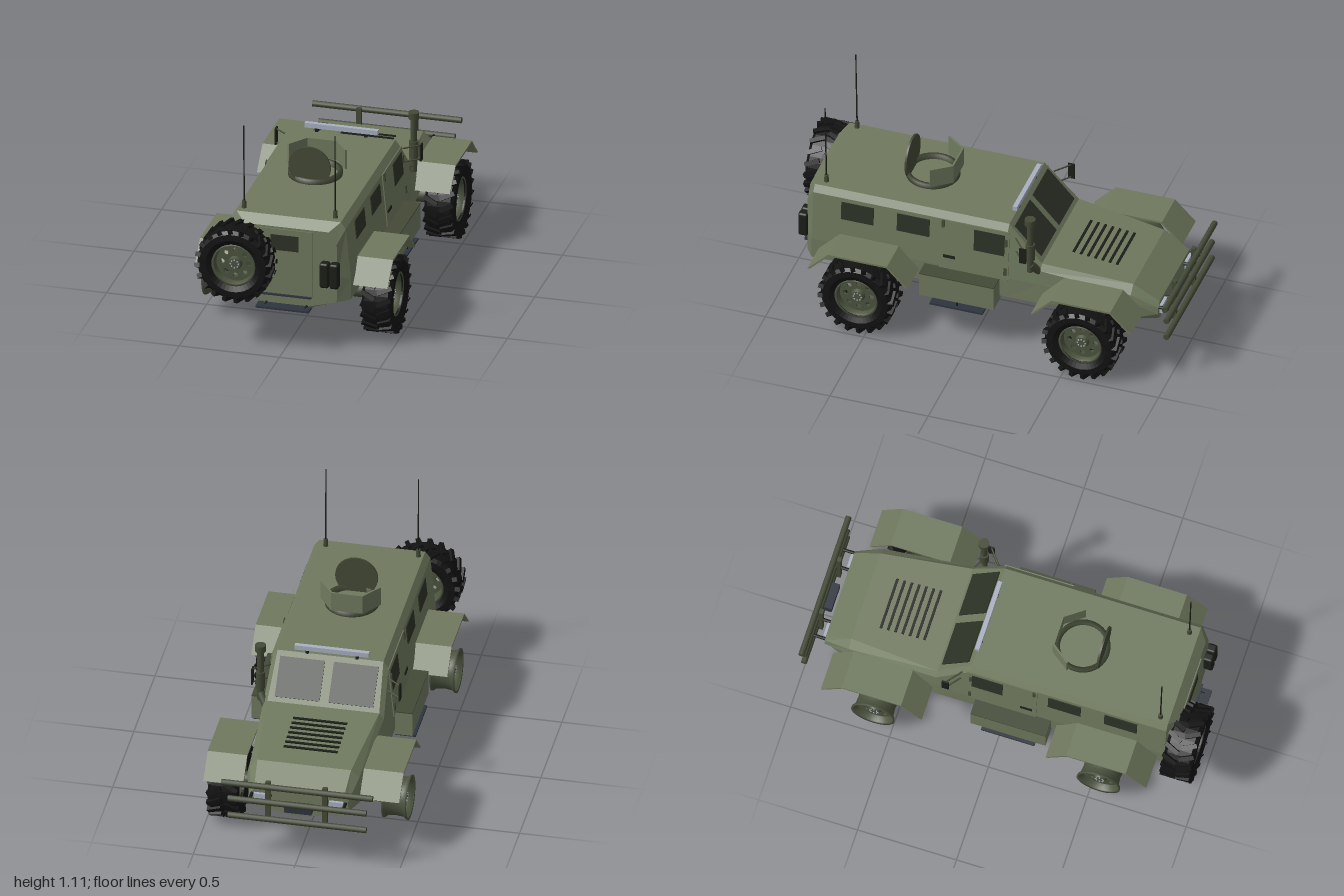
import * as THREE from 'three';
import { mergeGeometries } from 'three/addons/utils/BufferGeometryUtils.js';
import { RoundedBoxGeometry } from 'three/addons/geometries/RoundedBoxGeometry.js';

const mat = (name, color, extra = {}) => Object.assign(new THREE.MeshStandardMaterial({ color, ...extra }), { name });
const V2 = (p) => p.map(([x, y]) => new THREE.Vector2(x, y));

export function createModel() {
  const model = new THREE.Group();
  model.name = 'armouredTruck';
  const green = mat('hull green', 0x6f795e, { flatShading: true });
  const olive = mat('dark olive', 0x434a36);
  const rimMat = mat('rim olive', 0x4b533e, { side: THREE.DoubleSide });
  const rubber = mat('rubber', 0x111211, { flatShading: true });
  const glass = mat('dark glass', 0x2c3226);
  const lamp = mat('pale lamp', 0xaab0c2);
  const navy = mat('step blue grey', 0x2d343f);
  const black = mat('black', 0x1b1e18);

  const add = (name, geo, material, x = 0, y = 0, z = 0, parent = model) => {
    const m = new THREE.Mesh(geo, material);
    m.name = name;
    m.position.set(x, y, z);
    parent.add(m);
    return m;
  };
  const box = (name, w, h, d, material, x, y, z) => add(name, new THREE.BoxGeometry(w, h, d), material, x, y, z);
  const rod = (name, r, a, b, material, r2 = r, sides = 12) => {
    const p = new THREE.Vector3(...a), q = new THREE.Vector3(...b), dir = q.clone().sub(p);
    const m = add(name, new THREE.CylinderGeometry(r2, r, dir.length(), sides), material);
    m.position.copy(p).add(q).multiplyScalar(0.5);
    m.quaternion.setFromUnitVectors(new THREE.Vector3(0, 1, 0), dir.normalize());
    return m;
  };

  // Hull: z, keel height, then low, belt, shoulder and roof points of the right half
  const sections = [
    [0.87, 0.195, [0.25, 0.265], [0.255, 0.40], [0.25, 0.57], [0.21, 0.63]],
    [0.83, 0.17, [0.31, 0.27], [0.31, 0.38], [0.285, 0.64], [0.26, 0.672]],
    [-0.16, 0.17, [0.31, 0.27], [0.31, 0.38], [0.285, 0.64], [0.26, 0.672]],
    [-0.33, 0.17, [0.31, 0.27], [0.305, 0.38], [0.298, 0.455], [0.275, 0.485]],
    [-0.78, 0.175, [0.275, 0.265], [0.28, 0.36], [0.27, 0.40], [0.23, 0.44]],
    [-0.91, 0.225, [0.225, 0.265], [0.245, 0.30], [0.24, 0.335], [0.22, 0.36]],
  ];
  const rings = sections.map(([z, keel, ...half]) => [
    [0, keel, z], ...half.map(([x, y]) => [x, y, z]), ...half.slice().reverse().map(([x, y]) => [-x, y, z]),
  ]);
  const pos = [];
  const tri = (a, b, c) => pos.push(...a, ...b, ...c);
  const n = rings[0].length, last = rings[rings.length - 1];
  for (let s = 0; s < rings.length - 1; s++) {
    for (let i = 0; i < n; i++) {
      const j = (i + 1) % n, A = rings[s], B = rings[s + 1];
      tri(A[i], B[i], B[j]);
      tri(A[i], B[j], A[j]);
    }
  }
  for (let i = 1; i < n - 1; i++) {
    tri(rings[0][0], rings[0][i], rings[0][i + 1]);
    tri(last[0], last[i + 1], last[i]);
  }
  const hullGeo = new THREE.BufferGeometry();
  hullGeo.setAttribute('position', new THREE.Float32BufferAttribute(pos, 3));
  hullGeo.computeVertexNormals();
  add('hull', hullGeo, green);

  // Windscreen panes and bonnet louvres
  for (const s of [-1, 1]) {
    const pane = box('windscreenPane', 0.22, 0.2, 0.008, glass, s * 0.132, 0.578, -0.248);
    pane.rotation.x = Math.atan2(0.17, 0.187);
  }
  for (let i = 0; i < 7; i++) {
    const z = -0.44 - i * 0.0367;
    box('bonnetLouvre', 0.265, 0.008, 0.012, black, -0.007, 0.485 - (-0.33 - z) * 0.1 + 0.002, z).rotation.x = -0.1;
  }

  // Side doors, windows, lockers, steps and mirrors
  for (const s of [-1, 1]) {
    const plate = (name, h, w, m, y, z, out = 0) => {
      const p = box(name, 0.008, h, w, m, s * (0.31 - (y - 0.38) * 0.096 + out), y, z);
      p.rotation.z = s * 0.096;
    };
    plate('sideDoor', 0.27, 0.35, green, 0.505, 0.005, 0.001);
    plate('sideWindow', 0.095, 0.165, glass, 0.572, 0.602, 0.001);
    plate('sideWindow', 0.095, 0.165, glass, 0.572, 0.318, 0.001);
    plate('doorWindow', 0.115, 0.155, glass, 0.562, -0.07, 0.004);
    plate('doorHandle', 0.014, 0.06, black, 0.44, 0.13, 0.006);
    for (const y of [0.58, 0.42]) plate('doorHinge', 0.04, 0.014, olive, y, -0.155, 0.008);
    plate('doorLatch', 0.04, 0.014, olive, 0.62, 0.165, 0.008);
    box('sideLocker', 0.1, 0.125, 0.38, green, s * 0.345, 0.303, 0.065);
    box('lockerLid', 0.1, 0.006, 0.38, olive, s * 0.345, 0.368, 0.065);
    box('sideStep', 0.1, 0.01, 0.27, navy, s * 0.35, 0.205, 0.065);
    for (const x of [0.31, 0.38]) rod('stepBracket', 0.005, [s * x, 0.205, 0.065], [s * x, 0.245, 0.065], black);
    box('mirror', 0.008, 0.085, 0.035, black, s * 0.362, 0.575, -0.262);
    for (const y of [0.612, 0.54]) rod('mirrorArm', 0.004, [s * 0.285, y, -0.2], [s * 0.362, y, -0.262], olive);
  }

  // Mudguards: folded sheet swept across the wheel
  const guard = V2([[-0.255, 0.33], [-0.15, 0.437], [0.15, 0.437], [0.255, 0.33], [0.243, 0.33], [0.146, 0.427], [-0.146, 0.427], [-0.243, 0.33]]);
  const guardGeo = new THREE.ExtrudeGeometry(new THREE.Shape(guard), { depth: 0.195, bevelEnabled: false });
  guardGeo.translate(0, 0, -0.0975).rotateY(Math.PI / 2);
  for (const z of [0.538, -0.598]) for (const s of [-1, 1]) add('mudguard', guardGeo, green, s * 0.384, 0, z);

  // Rim parts, axis along z with the outside at +z
  const barrel = new THREE.LatheGeometry(V2([[0.1, -0.06], [0.11, -0.062], [0.108, -0.052], [0.097, -0.038],
    [0.093, 0], [0.097, 0.038], [0.108, 0.052], [0.11, 0.062], [0.1, 0.06]]), 32).rotateX(Math.PI / 2);
  const discShape = new THREE.Shape().absarc(0, 0, 0.095, 0, Math.PI * 2);
  for (let i = 0; i < 8; i++) {
    const a = (i * Math.PI) / 4;
    discShape.holes.push(new THREE.Path().absarc(Math.cos(a) * 0.066, Math.sin(a) * 0.066, 0.012, 0, Math.PI * 2, true));
  }
  const disc = new THREE.ExtrudeGeometry(discShape, { depth: 0.01, bevelEnabled: false, curveSegments: 16 });
  const hub = new THREE.CylinderGeometry(0.028, 0.036, 0.02, 20).rotateX(Math.PI / 2);
  const bolts = mergeGeometries(Array.from({ length: 8 }, (_, i) => new THREE.CylinderGeometry(0.004, 0.004, 0.006, 6)
    .rotateX(Math.PI / 2).translate(Math.cos(i * Math.PI / 4) * 0.02, Math.sin(i * Math.PI / 4) * 0.02, 0)));

  // Tyre carcass with staggered slanted lugs
  const carcass = new THREE.LatheGeometry(V2([[0.106, -0.06], [0.135, -0.076], [0.165, -0.074], [0.18, -0.058],
    [0.18, 0.058], [0.165, 0.074], [0.135, 0.076], [0.106, 0.06], [0.106, -0.06]]), 40).rotateX(Math.PI / 2);
  const lugs = [];
  for (let i = 0; i < 40; i++) {
    const s = i % 2 ? 1 : -1;
    lugs.push(new THREE.BoxGeometry(0.026, 0.022, 0.076).rotateX(s * 0.45).translate(0.179, 0, s * 0.04).rotateZ((i * Math.PI) / 20));
  }
  const tread = mergeGeometries(lugs);

  const wheel = (name, x, y, z, turn, withTyre) => {
    const g = new THREE.Group();
    g.name = name;
    g.position.set(x, y, z);
    g.rotation.y = turn;
    add('rimBarrel', barrel, rimMat, 0, 0, 0, g);
    add('rimDisc', disc, rimMat, 0, 0, 0.015, g);
    add('hub', hub, rimMat, 0, 0, 0.032, g);
    add('hubBolts', bolts, lamp, 0, 0, 0.043, g);
    if (withTyre) {
      add('tyre', carcass, rubber, 0, 0, 0, g);
      add('tread', tread, rubber, 0, 0, 0, g);
    }
    model.add(g);
  };
  wheel('spareWheel', -0.235, 0.45, 0.918, 0, true);
  box('spareWheelMount', 0.1, 0.1, 0.06, olive, -0.2, 0.45, 0.885);

  // Axles with differentials, wheels on both ends
  for (const z of [0.55, -0.59]) {
    rod('axle', 0.037, [-0.4, 0.197, z], [0.4, 0.197, z], olive, 0.037, 16);
    add('differential', new THREE.SphereGeometry(0.068, 14, 10), olive, 0, 0.185, z).scale.set(0.9, 1, 1.1);
    wheel('tyredWheel', 0.406, 0.195, z, Math.PI / 2, true);
    wheel('bareWheel', -0.422, 0.197, z, -Math.PI / 2, false);
  }

  // Rear door, steps and canisters
  box('rearDoor', 0.265, 0.34, 0.012, green, -0.003, 0.45, 0.87);
  box('rearWindow', 0.14, 0.08, 0.008, glass, -0.008, 0.55, 0.875);
  box('doorSill', 0.265, 0.008, 0.02, navy, -0.007, 0.275, 0.875);
  box('rearStep', 0.265, 0.01, 0.06, navy, -0.007, 0.222, 0.9);
  for (const s of [-1, 1]) rod('rearStepArm', 0.006, [s * 0.1, 0.23, 0.85], [s * 0.1, 0.222, 0.9], black);
  for (const x of [0.197, 0.246]) add('rearCanister', new RoundedBoxGeometry(0.046, 0.13, 0.05, 3, 0.012), black, x, 0.415, 0.89);

  // Roof: aerials, hatch ring, raised lid, gun shield and light bar
  for (const x of [-0.235, 0.22]) {
    rod('aerialBase', 0.013, [x, 0.665, 0.785], [x, 0.71, 0.785], olive, 0.01);
    rod('aerial', 0.004, [x, 0.7, 0.785], [x, 1.107, 0.792], black, 0.003, 8);
  }
  const ringGeo = new THREE.LatheGeometry(V2([[0.112, 0], [0.132, 0], [0.132, 0.03], [0.112, 0.03], [0.112, 0]]), 40);
  add('hatchRing', ringGeo, olive, -0.007, 0.667, 0.32);
  add('hatchLid', new THREE.CylinderGeometry(0.105, 0.105, 0.01, 40).rotateX(Math.PI / 2), olive, -0.007, 0.755, 0.425);
  const shield = V2([[-0.148, -0.285], [-0.078, -0.19], [0.078, -0.19], [0.148, -0.285], [0.14, -0.29], [0.073, -0.199], [-0.073, -0.199], [-0.14, -0.29]]);
  const shieldGeo = new THREE.ExtrudeGeometry(new THREE.Shape(shield), { depth: 0.1, bevelEnabled: false });
  add('gunShield', shieldGeo.rotateX(-Math.PI / 2), green, -0.007, 0.7, 0);
  box('lightBar', 0.365, 0.024, 0.022, lamp, -0.007, 0.702, -0.158);
  for (const x of [-0.13, 0.115]) box('lightBarFoot', 0.015, 0.03, 0.015, black, x, 0.68, -0.155);

  // Snorkel
  rod('snorkelElbow', 0.02, [0.28, 0.44, -0.32], [0.318, 0.5, -0.285], olive);
  rod('snorkelPipe', 0.016, [0.318, 0.46, -0.285], [0.318, 0.75, -0.285], olive);
  rod('snorkelSleeve', 0.023, [0.318, 0.53, -0.285], [0.318, 0.62, -0.285], olive);
  rod('snorkelCap', 0.027, [0.318, 0.738, -0.285], [0.318, 0.772, -0.285], olive);

  // Brush guard, headlamps and plate on the nose
  for (const [y, z, w] of [[0.425, -0.985, 0.372], [0.335, -0.982, 0.34], [0.24, -0.982, 0.34]]) {
    rod('guardBar', 0.015, [-w - 0.007, y, z], [w - 0.007, y, z], olive);
  }
  for (const s of [-1, 1]) {
    box('guardUpright', 0.025, 0.22, 0.02, olive, s * 0.14, 0.33, -0.96);
    for (const x of [0.14, 0.23]) rod('guardBracket', 0.008, [s * x, 0.33, -0.89], [s * x, 0.335, -0.982], black);
    box('headlamp', 0.07, 0.05, 0.02, lamp, s * 0.185, 0.315, -0.915);
  }
  box('nosePlate', 0.135, 0.04, 0.04, navy, -0.007, 0.3, -0.95);

  return model;
}
